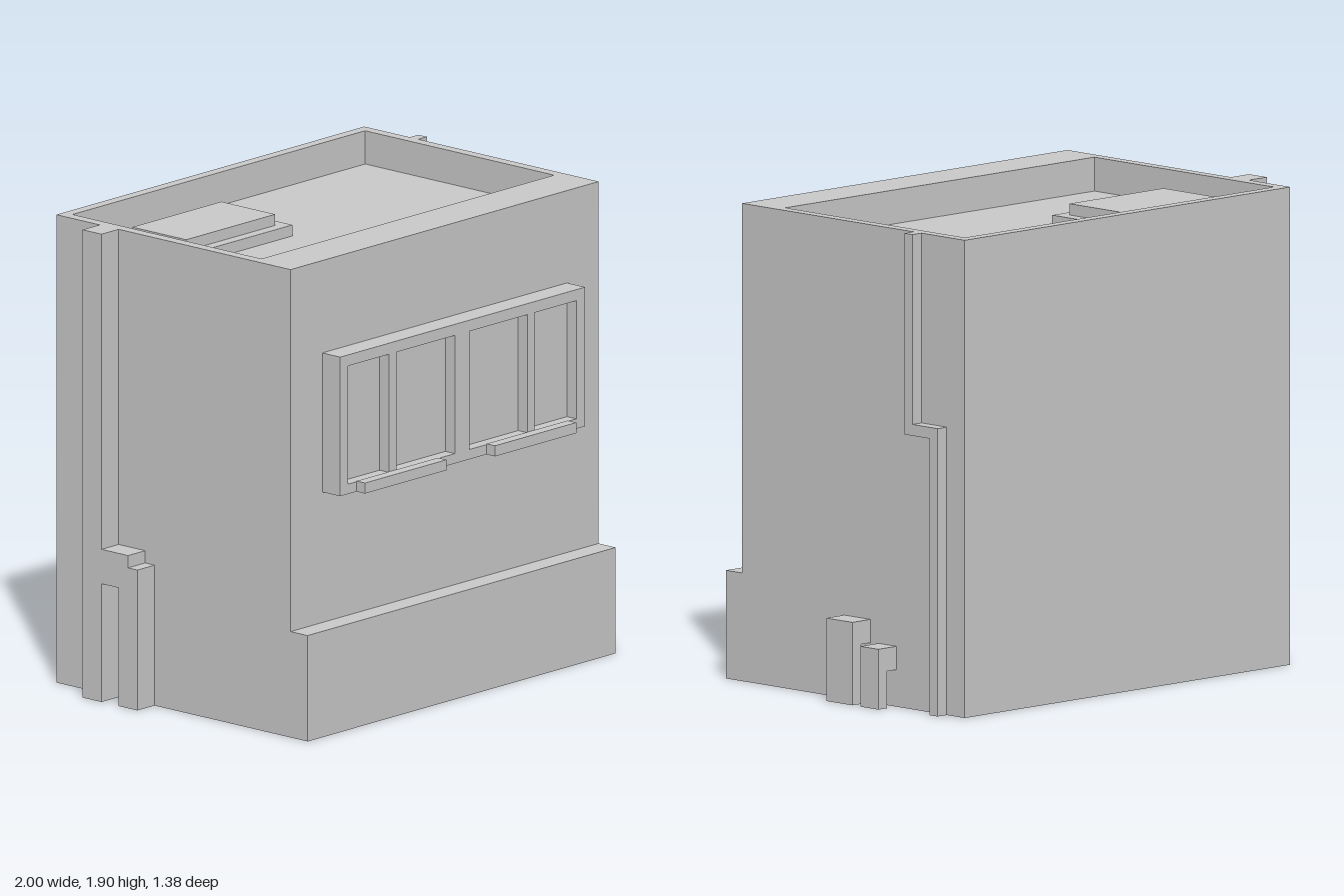
import * as THREE from 'three';

const grey = new THREE.MeshStandardMaterial({ color: 0xcccccc, flatShading: true });

function add(group, name, geometry) {
  const mesh = new THREE.Mesh(geometry, grey);
  mesh.name = name;
  group.add(mesh);
  return mesh;
}

// Box given by its limits on each axis
function box(group, name, [x0, x1], [y0, y1], [z0, z1]) {
  const mesh = add(group, name, new THREE.BoxGeometry(x1 - x0, y1 - y0, z1 - z0));
  mesh.position.set((x0 + x1) / 2, (y0 + y1) / 2, (z0 + z1) / 2);
  return mesh;
}

const polygon = (points) => new THREE.Shape(points.map(([x, y]) => new THREE.Vector2(x, y)));
const rect = (x0, x1, y0, y1) => polygon([[x0, y0], [x1, y0], [x1, y1], [x0, y1]]);
const extrude = (shape, depth) => new THREE.ExtrudeGeometry(shape, { depth, bevelEnabled: false });

// Extrusion of a (z, y) outline between two x positions
function sideExtrude(group, name, points, x0, x1) {
  const mesh = add(group, name, extrude(polygon(points), x1 - x0));
  mesh.rotation.y = -Math.PI / 2;
  mesh.position.x = x1;
  return mesh;
}

export function createModel() {
  const model = new THREE.Group();
  model.name = 'building';
  const roofY = 1.765, topY = 1.9;

  // Main block with the stepped plinth along the front
  sideExtrude(model, 'walls', [
    [-0.69, 0], [0.64, 0], [0.64, 0.43], [0.55, 0.43], [0.55, roofY], [-0.69, roofY],
  ], -0.9, 0.9);

  // Parapet around the sunken roof, wider at the front
  const ring = rect(-0.9, 0.9, -0.55, 0.69);
  ring.holes.push(rect(-0.855, 0.855, -0.355, 0.645));
  const parapet = add(model, 'parapet', extrude(ring, topY - roofY));
  parapet.rotation.x = -Math.PI / 2;
  parapet.position.y = roofY;

  // Roof hatch
  const hatch = new THREE.Group();
  hatch.name = 'roofHatch';
  box(hatch, 'hatchBase', [-0.76, -0.145], [roofY, 1.81], [-0.5, -0.125]);
  box(hatch, 'hatchLid', [-0.715, -0.195], [1.81, 1.855], [-0.455, -0.17]);
  model.add(hatch);

  // Window band: frame with four openings, panes behind, two sills
  const windows = new THREE.Group();
  windows.name = 'windows';
  const frame = rect(-0.715, 0.715, 0.96, 1.525);
  for (const [x0, x1] of [[-0.67, -0.43], [-0.385, -0.045], [0.04, 0.38], [0.42, 0.665]]) {
    frame.holes.push(rect(x0, x1, 1.0, 1.48));
  }
  add(windows, 'windowFrame', extrude(frame, 0.05)).position.z = 0.595;
  box(windows, 'windowPanes', [-0.715, 0.715], [0.96, 1.525], [0.55, 0.595]);
  for (const [x0, x1] of [[-0.62, -0.145], [0.14, 0.615]]) {
    box(windows, 'windowSill', [x0, x1], [0.96, 1.003], [0.645, 0.69]);
  }
  model.add(windows);

  // Drainpipe with a jog on the left wall
  sideExtrude(model, 'drainpipe', [
    [-0.59, 0], [-0.545, 0], [-0.545, 1.1], [-0.405, 1.1],
    [-0.405, topY], [-0.45, topY], [-0.45, 1.145], [-0.59, 1.145],
  ], 0.9, 0.95);

  // Two short hooked pipes coming out of the left wall
  for (const [height, z0, z1] of [[0.33, -0.165, -0.02], [0.24, -0.31, -0.21]]) {
    const under = height - 0.093;
    const hook = polygon([
      [0.953, 0], [1, 0], [1, height], [0.9, height], [0.9, under], [0.953, under],
    ]);
    add(model, 'hookedPipe', extrude(hook, z1 - z0)).position.z = z0;
  }

  // Tall duct on the right wall with a side branch running to the ground
  sideExtrude(model, 'duct', [
    [-0.46, 0], [-0.36, 0], [-0.36, 0.48], [-0.27, 0.48], [-0.27, 0], [-0.17, 0],
    [-0.17, 0.57], [-0.22, 0.57], [-0.22, 0.62], [-0.36, 0.62], [-0.36, topY], [-0.46, topY],
  ], -1, -0.9);

  return model;
}
